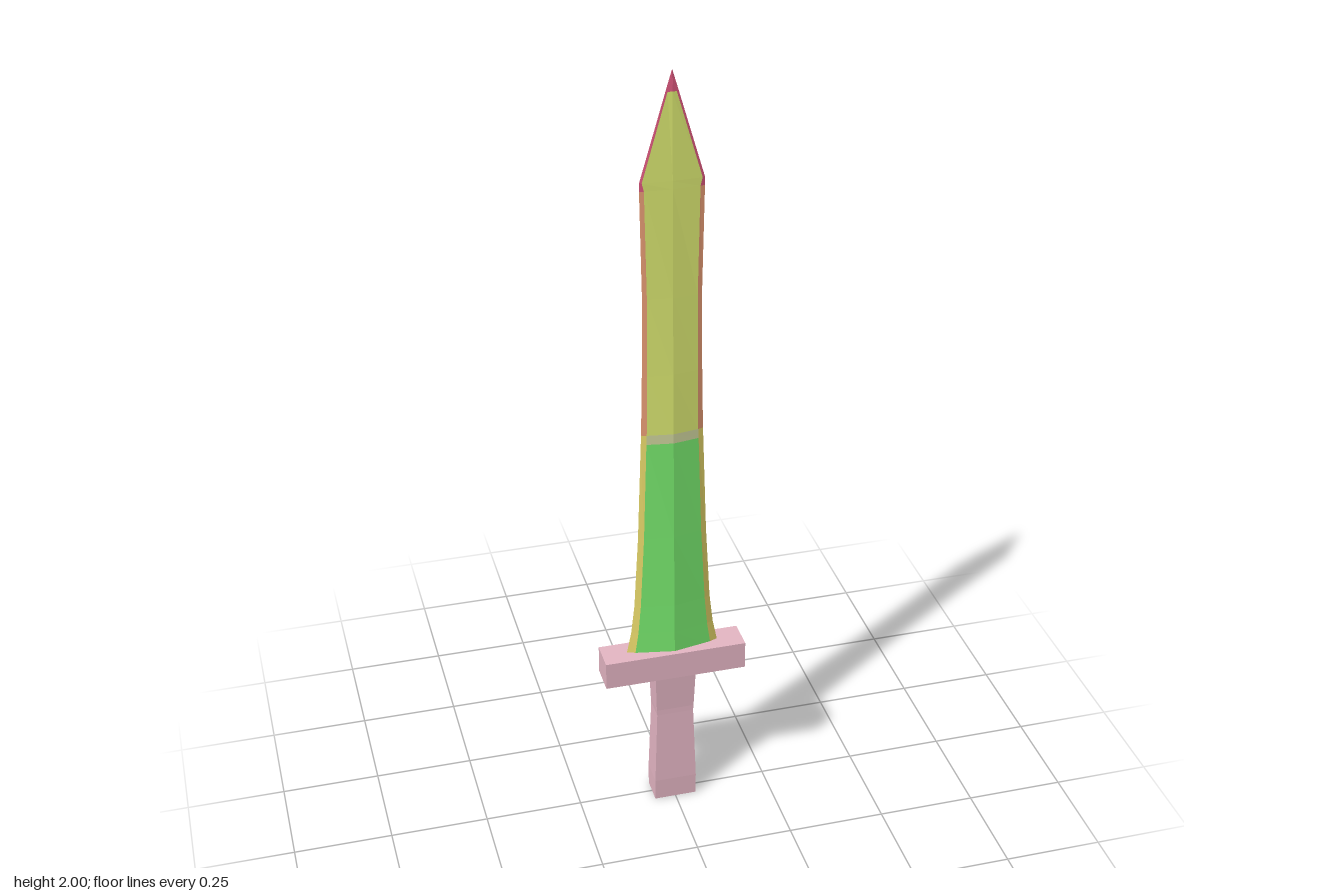
import * as THREE from 'three';

const mat = (name, color) => new THREE.MeshStandardMaterial({ name, color, flatShading: true, side: THREE.DoubleSide });

// Blade rings: y, half width, half width of the broad face, half thickness
const RINGS = [
  [0.45, 0.121, 0.100, 0.027],
  [0.52, 0.107, 0.090, 0.025],
  [0.6, 0.098, 0.083, 0.023],
  [0.8, 0.087, 0.073, 0.019],
  [1.065, 0.078, 0.065, 0.0145],
  [1.09, 0.077, 0.064, 0.014],
  [1.25, 0.074, 0.062, 0.0115],
  [1.45, 0.072, 0.061, 0.009],
  [1.72, 0.077, 0.066, 0.006],
  [1.74, 0.077, 0.071, 0.0058],
  [1.95, 0.0155, 0.0105, 0.0022],
  [2.0, 0.0006, 0.0003, 0.0006],
];

// Diamond cross-section with a thin cutting bevel on both sides
function section([y, w, f, t]) {
  const b = Math.max(t * 0.3, 0.0003);
  return [[w, 0], [f, b], [0, t], [-f, b], [-w, 0], [-f, -b], [0, -t], [f, -b]]
    .map(([x, z]) => [x, y, z]);
}

// Skin the chosen sides between two rings, as flat facets
function bladeStrip(from, to, sides) {
  const pos = [];
  for (let k = from; k < to; k++) {
    const lo = section(RINGS[k]), hi = section(RINGS[k + 1]);
    for (const j of sides) {
      const n = (j + 1) % 8;
      pos.push(...lo[j], ...hi[j], ...hi[n], ...lo[j], ...hi[n], ...lo[n]);
    }
  }
  const g = new THREE.BufferGeometry();
  g.setAttribute('position', new THREE.Float32BufferAttribute(pos, 3));
  g.computeVertexNormals();
  return g;
}

export function createModel() {
  const group = new THREE.Group();
  group.name = 'sword';
  const pink = mat('dustyPink', 0xe6b7c5);
  const green = mat('leafGreen', 0x78e86e);
  const olive = mat('yellowGreen', 0xdae771);
  const yellow = mat('edgeYellow', 0xeada6c);
  const salmon = mat('edgeSalmon', 0xeda078);
  const band = mat('paleBand', 0xcdd29c);
  const red = mat('tipRed', 0xdc587e);

  const add = (name, geometry, material) => {
    const m = new THREE.Mesh(geometry, material);
    m.name = name;
    group.add(m);
    return m;
  };

  // Blade faces and bevels
  const faces = [1, 2, 5, 6], bevels = [0, 3, 4, 7];
  add('lowerBlade', bladeStrip(0, 4, faces), green);
  add('bladeBand', bladeStrip(4, 5, faces), band);
  add('upperBlade', bladeStrip(5, 10, faces), olive);
  add('lowerEdge', bladeStrip(0, 5, bevels), yellow);
  add('upperEdge', bladeStrip(5, 8, bevels), salmon);
  add('pointEdge', bladeStrip(8, 10, bevels), red);
  add('tip', bladeStrip(10, 11, [...faces, ...bevels]), red);

  // Crossguard
  add('guard', new THREE.BoxGeometry(0.366, 0.074, 0.08), pink).position.y = 0.425;

  // Grip: a box pinched below the guard and flared at the pommel
  const GRIP = [[0, 0.055, 0.035], [0.06, 0.055, 0.036], [0.27, 0.048, 0.031], [0.285, 0.049, 0.031], [0.395, 0.053, 0.036]];
  const grip = new THREE.BoxGeometry(2, 4, 2, 1, 4, 1);
  const p = grip.attributes.position;
  for (let i = 0; i < p.count; i++) {
    const [y, w, d] = GRIP[Math.round(p.getY(i) + 2)];
    p.setXYZ(i, p.getX(i) * w, y, p.getZ(i) * d);
  }
  grip.computeVertexNormals();
  add('grip', grip, pink);

  return group;
}
